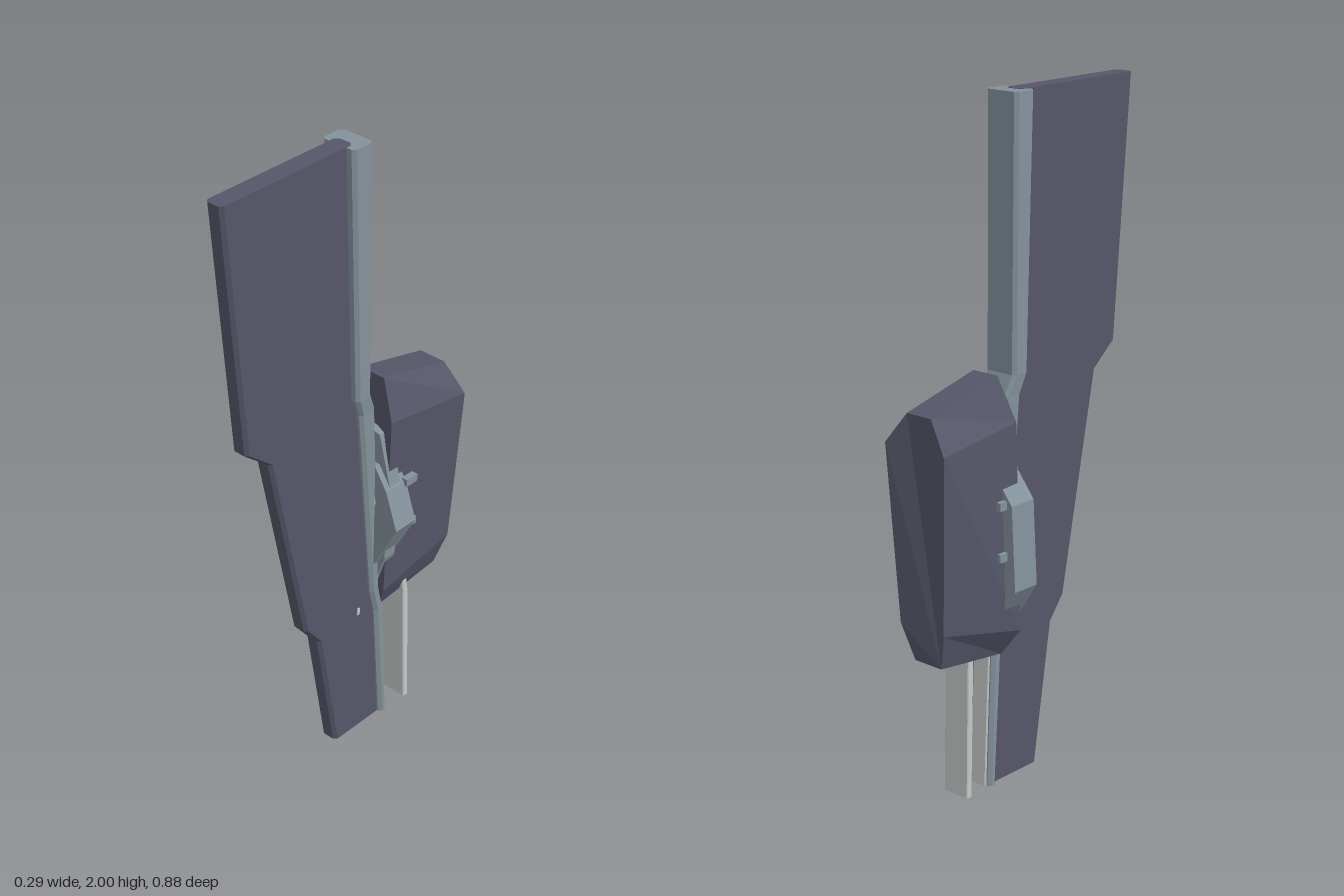
import * as THREE from 'three';

const mat = (name, color) => {
  const m = new THREE.MeshStandardMaterial({ color });
  m.name = name;
  return m;
};

// Skin a list of equal-length rings (counter-clockwise seen from the last ring) and cap both ends.
function loft(rings) {
  const pos = [];
  const tri = (a, b, c) => pos.push(...a, ...b, ...c);
  const n = rings[0].length;
  for (let r = 0; r < rings.length - 1; r++) {
    const lo = rings[r], hi = rings[r + 1];
    for (let i = 0; i < n; i++) {
      const j = (i + 1) % n;
      tri(lo[i], lo[j], hi[j]);
      tri(lo[i], hi[j], hi[i]);
    }
  }
  const first = rings[0], last = rings[rings.length - 1];
  for (let i = 1; i < n - 1; i++) {
    tri(first[0], first[i + 1], first[i]);
    tri(last[0], last[i], last[i + 1]);
  }
  const g = new THREE.BufferGeometry();
  g.setAttribute('position', new THREE.Float32BufferAttribute(pos, 3));
  g.computeVertexNormals();
  return g;
}

// Horizontal rectangle with clipped corners, centred on x = cx.
function clippedRing(cx, y, zFront, zBack, half, c) {
  return [
    [cx - half + c, y, zFront], [cx + half - c, y, zFront],
    [cx + half, y, zFront - c], [cx + half, y, zBack + c],
    [cx + half - c, y, zBack], [cx - half + c, y, zBack],
    [cx - half, y, zBack + c], [cx - half, y, zFront - c],
  ];
}

// Outline in x, y pushed from zBack to zFront.
function slab(points, zBack, zFront) {
  const shape = new THREE.Shape(points.map(([x, y]) => new THREE.Vector2(x, y)));
  return new THREE.ExtrudeGeometry(shape, { depth: zFront - zBack, bevelEnabled: false })
    .translate(0, 0, zBack);
}

export function createModel() {
  const group = new THREE.Group();
  const dark = mat('dark slate', 0x555668);
  const steel = mat('blue grey steel', 0x84929b);
  const pale = mat('pale grey', 0xc6c8c8);

  const add = (name, geometry, material) => {
    const mesh = new THREE.Mesh(geometry, material);
    mesh.name = name;
    group.add(mesh);
    return mesh;
  };
  const CX = 0.0135;

  // Flat blade with a stepped leading edge: [y, front z, back z]
  add('blade', loft([
    [0, 0.03, -0.175], [0.43, 0.1, -0.15], [0.5, 0.155, -0.13],
    [1.16, 0.29, -0.08], [1.23, 0.375, -0.055], [2, 0.44, -0.035],
  ].map(([y, f, b]) => clippedRing(CX, y, f, b, 0.029, 0.01))), dark);

  // Spine along the back of the blade: [y, front z, back z, half width]
  add('spine', loft([
    [0.001, -0.16, -0.19, 0.044], [0.42, -0.133, -0.17, 0.044], [0.5, -0.113, -0.15, 0.045],
    [1.16, -0.055, -0.117, 0.048], [1.22, -0.033, -0.092, 0.055], [1.999, -0.008, -0.083, 0.057],
  ].map(([y, f, b, h]) => clippedRing(CX, y, f, b, h, 0.01))), steel);

  // Pale strip at the lower back of the spine
  add('spineStrip', loft([
    [0.001, -0.18, -0.195], [0.42, -0.16, -0.175],
  ].map(([y, f, b]) => clippedRing(CX, y, f, b, 0.03, 0.003))), pale);

  // Eight-sided housing behind the guard
  add('housing', loft([
    [[-0.055, 0.45, -0.41], [0.045, 0.45, -0.41], [0.08, 0.56, -0.43], [0.115, 1.08, -0.442],
      [0.05, 1.17, -0.422], [-0.04, 1.17, -0.422], [-0.105, 1.08, -0.442], [-0.085, 0.56, -0.43]],
    [[-0.055, 0.42, -0.165], [0.04, 0.42, -0.165], [0.075, 0.5, -0.145], [0.095, 1.11, -0.145],
      [0.05, 1.235, -0.16], [-0.04, 1.235, -0.16], [-0.095, 1.11, -0.145], [-0.11, 0.5, -0.145]],
  ]), dark);

  // Thin tang hanging below the housing
  add('tang', loft([
    [0.001, -0.267, -0.287], [0.42, -0.255, -0.277], [0.5, -0.245, -0.265],
  ].map(([y, f, b]) => clippedRing(CX, y, f, b, 0.046, 0.003))), pale);

  // Guard: tall thin back plate and two uneven wings
  add('guardPlate', slab([
    [-0.03, 0.49], [0.045, 0.52], [0.085, 0.63], [0.1, 0.9], [0.06, 1.06],
    [-0.04, 1.08], [-0.09, 0.98], [-0.105, 0.64],
  ], -0.18, -0.135), steel);
  add('leftWing', slab([
    [0, 0.6], [0.055, 0.6], [0.145, 0.77], [0.105, 0.89], [0.06, 0.96], [0, 0.96],
  ], -0.2, -0.116), steel);
  add('rightWing', slab([
    [0, 0.55], [0, 0.98], [-0.08, 0.96], [-0.135, 0.89], [-0.147, 0.64], [-0.09, 0.55],
  ], -0.208, -0.118), steel);

  // Faceted pale inlay on the guard front
  const rim = [[-0.115, 0.76], [-0.05, 0.61], [0.04, 0.68], [0.075, 0.84], [0.05, 0.96], [-0.02, 1.02], [-0.08, 0.91]];
  add('guardInlay', loft([
    rim.map(([x, y]) => [x, y, -0.12]),
    rim.map(([x, y]) => [x * 0.55, 0.8 + (y - 0.8) * 0.6, -0.107]),
  ]), pale);

  // Small clasps behind the wings
  for (const side of [-1, 1]) {
    for (const y of [0.74, 0.89]) {
      const clasp = add('clasp', new THREE.BoxGeometry(0.02, 0.024, 0.045), steel);
      clasp.position.set(side * 0.108, y, -0.213);
    }
  }

  // Rivets on both blade faces
  for (const side of [-1, 1]) {
    const rivet = add('rivet', new THREE.BoxGeometry(0.004, 0.024, 0.01), pale);
    rivet.position.set(CX + side * 0.03, 0.45, -0.068);
  }

  return group;
}
